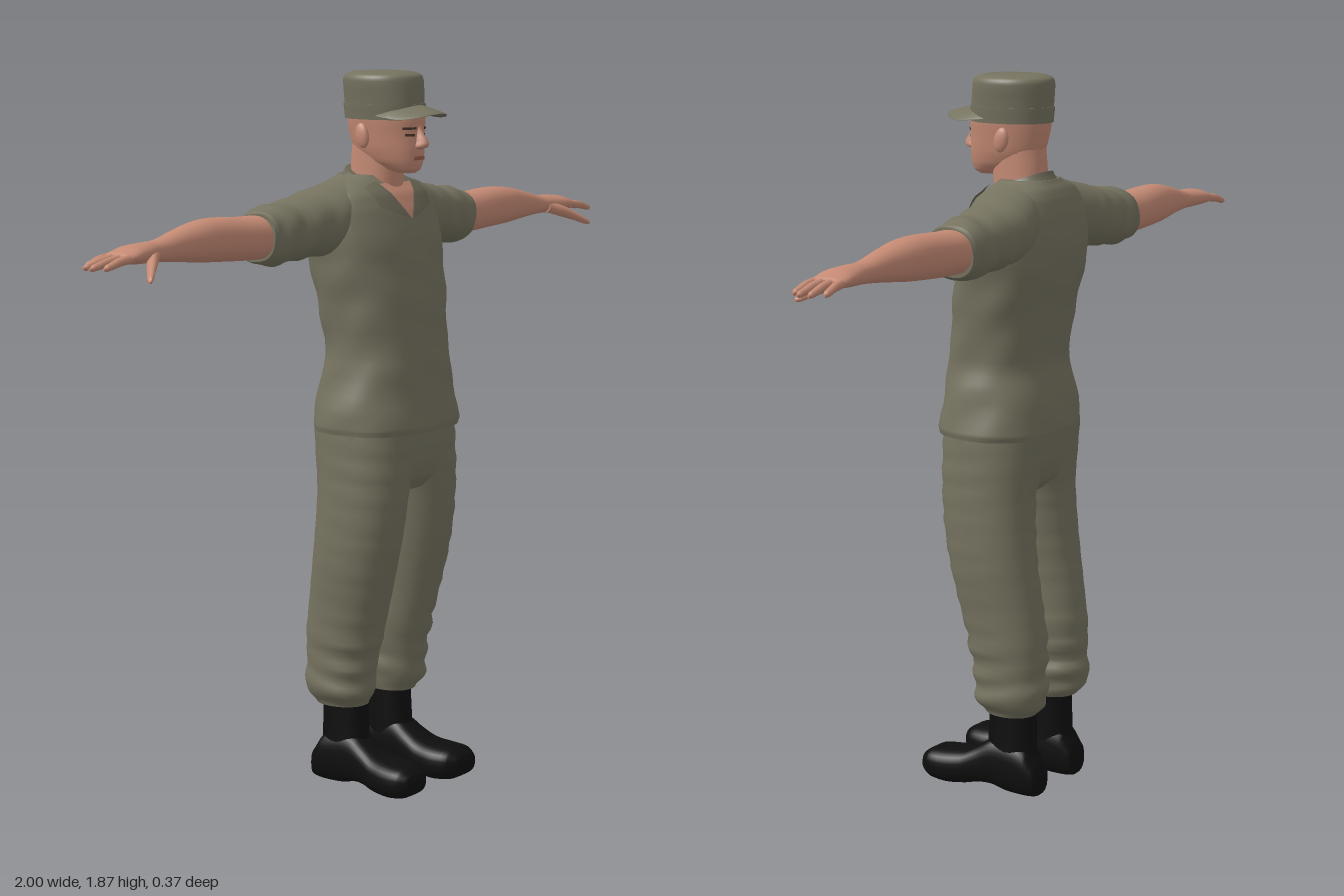
import * as THREE from 'three';

const mat = (name, color, side = THREE.FrontSide) => {
  const m = new THREE.MeshStandardMaterial({ color, side });
  m.name = name;
  return m;
};

// Loft through box-like sections [t, u0, u1, v0, v1] along an axis.
// (u, v) is (z, x) along y, (y, z) along x and (x, y) along z.
function loft(axis, sections, { n = 2.2, seg = 32, sub = 4, fold = null, tilt = 0 } = {}) {
  const rows = [];
  const last = sections.length - 1;
  for (let k = 0; k <= last * sub; k++) {
    const i = Math.min(Math.floor(k / sub), last - 1), f = k / sub - i;
    const [a, b, c, d] = [-1, 0, 1, 2].map(o => sections[Math.min(Math.max(i + o, 0), last)]);
    rows.push(b.map((_, q) => {
      if (q === 0) return b[0] + (c[0] - b[0]) * f;
      const m0 = (c[q] - a[q]) / 2, m1 = (d[q] - b[q]) / 2, f2 = f * f, f3 = f2 * f;
      return (2 * f3 - 3 * f2 + 1) * b[q] + (f3 - 2 * f2 + f) * m0 + (3 * f2 - 2 * f3) * c[q] + (f3 - f2) * m1;
    }));
  }
  const pos = [], idx = [];
  const put = (u, v, w) => {
    const p = axis === 'y' ? [v, w + tilt * u, u] : axis === 'x' ? [w, u, v] : [u, v, w];
    pos.push(...p);
  };
  const ring = ([t, u0, u1, v0, v1]) => {
    for (let j = 0; j < seg; j++) {
      const th = j / seg * Math.PI * 2, c = Math.cos(th), s = Math.sin(th), e = 2 / n;
      const w = fold ? fold(t, th) : 0;
      put((u0 + u1) / 2 + ((u1 - u0) / 2 + w) * Math.sign(c) * Math.abs(c) ** e,
        (v0 + v1) / 2 + ((v1 - v0) / 2 + w) * Math.sign(s) * Math.abs(s) ** e, t);
    }
  };
  rows.forEach(ring);
  for (let i = 0; i < rows.length - 1; i++) for (let j = 0; j < seg; j++) {
    const a = i * seg + j, b = i * seg + (j + 1) % seg;
    idx.push(a, b, b + seg, a, b + seg, a + seg);
  }
  // End caps with their own vertices
  [rows[0], rows[rows.length - 1]].forEach((r, end) => {
    const o = pos.length / 3;
    ring(r);
    put((r[1] + r[2]) / 2, (r[3] + r[4]) / 2, r[0]);
    for (let j = 0; j < seg; j++) {
      const a = o + j, b = o + (j + 1) % seg;
      idx.push(o + seg, ...(end ? [a, b] : [b, a]));
    }
  });
  const g = new THREE.BufferGeometry();
  g.setAttribute('position', new THREE.Float32BufferAttribute(pos, 3));
  g.setIndex(idx);
  g.computeVertexNormals();
  return g;
}

function mirrored(geo) {
  const g = geo.clone().scale(-1, 1, 1), ix = g.index.array;
  for (let i = 0; i < ix.length; i += 3) [ix[i + 1], ix[i + 2]] = [ix[i + 2], ix[i + 1]];
  return g;
}

// Thin patch laid over the front of some meshes; corners bl, br, tr, tl in (x, y)
function drape(targets, [bl, br, tr, tl], off) {
  const g = new THREE.PlaneGeometry(1, 1, 10, 10), p = g.attributes.position;
  const ray = new THREE.Raycaster();
  for (let i = 0; i < p.count; i++) {
    const u = p.getX(i) + 0.5, v = p.getY(i) + 0.5;
    const [x, y] = [0, 1].map(k => (bl[k] * (1 - u) + br[k] * u) * (1 - v) + (tl[k] * (1 - u) + tr[k] * u) * v);
    ray.set(new THREE.Vector3(x, y, 1), new THREE.Vector3(0, 0, -1));
    const hit = ray.intersectObjects(targets)[0];
    p.setXYZ(i, x, y, (hit ? hit.point.z : -0.03) + off);
  }
  g.computeVertexNormals();
  return g;
}

export function createModel() {
  const group = new THREE.Group();
  const cloth = mat('olive cloth', 0x75725f);
  const collarCloth = mat('collar cloth', 0x6d6a58, THREE.DoubleSide);
  const skin = mat('skin', 0xc48a74);
  const leather = mat('black leather', 0x0e0e0e);
  const lip = mat('lips', 0x9c5f50);
  const dark = mat('brows and eyes', 0x4a342a);

  const add = (name, geo, m) => {
    const mesh = new THREE.Mesh(geo, m);
    mesh.name = name;
    group.add(mesh);
    return mesh;
  };
  const pair = (name, geo, m) => [add(name + 'Left', geo, m), add(name + 'Right', mirrored(geo), m)];

  // Shirt
  const shirtFold = (y, a) => 0.003 * Math.sin(y * 48 + 2 * Math.sin(a * 2)) * Math.sin(a * 3 + y * 9) * (y < 1.4 ? 1 : 0.3);
  const shirt = add('shirtBody', loft('y', [
    [0.955, -0.162, 0.152, -0.202, 0.202], [0.975, -0.164, 0.154, -0.204, 0.204], [1.08, -0.148, 0.142, -0.184, 0.184],
    [1.155, -0.136, 0.134, -0.17, 0.17], [1.28, -0.155, 0.12, -0.181, 0.181], [1.38, -0.173, 0.105, -0.194, 0.194],
    [1.45, -0.18, 0.09, -0.2, 0.2], [1.52, -0.172, 0.066, -0.197, 0.197], [1.56, -0.16, 0.045, -0.175, 0.175],
    [1.585, -0.147, 0.022, -0.135, 0.135], [1.605, -0.13, 0.005, -0.085, 0.085]], { n: 2.4, seg: 56, fold: shirtFold }), cloth);
  const sleeves = pair('sleeve', loft('x', [
    [0.07, 1.43, 1.603, -0.145, 0.02], [0.14, 1.42, 1.588, -0.168, 0.025], [0.2, 1.408, 1.572, -0.178, 0.015],
    [0.3, 1.402, 1.552, -0.17, -0.003], [0.36, 1.396, 1.546, -0.164, -0.01], [0.4, 1.4, 1.537, -0.16, -0.014],
    [0.41, 1.407, 1.53, -0.155, -0.02]], {
    fold: (x, a) => x > 0.18 ? 0.003 * Math.sin(x * 75 + Math.sin(a * 2) * 1.5) : 0 }), cloth);

  // Collar, open neck and lapels
  const collar = add('collarBand', loft('y', [[1.52, -0.15, 0.06, -0.115, 0.115], [1.555, -0.13, 0.048, -0.09, 0.09],
    [1.585, -0.116, 0.036, -0.072, 0.072]], { tilt: -0.35 }), collarCloth);
  group.updateMatrixWorld(true);
  const front = [shirt, collar, ...sleeves];
  add('openNeck', drape(front, [[-0.004, 1.497], [0.004, 1.497], [0.066, 1.585], [-0.066, 1.585]], 0.004), skin);
  pair('lapel', drape(front, [[0.004, 1.495], [0.1, 1.528], [0.112, 1.578], [0.068, 1.592]], 0.009), collarCloth);

  // Trousers
  add('trouserSeat', loft('y', [[0.8, -0.09, 0.095, -0.09, 0.09], [0.83, -0.12, 0.118, -0.15, 0.15],
    [0.88, -0.138, 0.129, -0.188, 0.188], [0.97, -0.15, 0.13, -0.19, 0.19]], { n: 2.6 }), cloth);
  pair('trouserLeg', loft('y', [
    [0.222, -0.138, 0.003, 0.045, 0.16], [0.25, -0.165, 0.02, 0.034, 0.178], [0.29, -0.171, 0.027, 0.028, 0.184],
    [0.33, -0.166, 0.03, 0.029, 0.181], [0.4, -0.168, 0.046, 0.02, 0.186], [0.5, -0.156, 0.071, 0.02, 0.19],
    [0.6, -0.14, 0.095, 0.016, 0.199], [0.7, -0.13, 0.114, 0.01, 0.2], [0.8, -0.127, 0.125, 0.001, 0.197],
    [0.88, -0.138, 0.13, -0.02, 0.194], [0.97, -0.148, 0.13, -0.03, 0.19]], {
    seg: 40, fold: (y, a) => (y < 0.45 ? 0.005 : 0.002) * Math.sin(y * 95 + 2 * Math.sin(a + 1)) * (0.6 + 0.4 * Math.sin(a * 2)) }), cloth);

  // Boots
  pair('bootShaft', loft('y', [[0.06, -0.14, 0.01, 0.046, 0.14], [0.13, -0.136, 0.002, 0.046, 0.136],
    [0.27, -0.132, -0.005, 0.046, 0.134]]), leather);
  pair('bootFoot', loft('z', [
    [-0.16, 0.07, 0.122, 0.02, 0.06], [-0.152, 0.055, 0.135, 0.004, 0.085], [-0.12, 0.047, 0.142, 0, 0.13],
    [-0.06, 0.045, 0.142, 0.002, 0.145], [-0.02, 0.043, 0.143, 0.012, 0.142], [0.02, 0.04, 0.148, 0.012, 0.118],
    [0.06, 0.035, 0.158, 0.004, 0.098], [0.11, 0.032, 0.166, 0, 0.092], [0.155, 0.042, 0.164, 0.006, 0.088],
    [0.18, 0.065, 0.148, 0.02, 0.074], [0.188, 0.088, 0.126, 0.035, 0.06]], { n: 2.8 }), leather);

  // Bare arms, palms, fingers and thumbs
  pair('arm', loft('x', [
    [0.36, 1.416, 1.524, -0.15, -0.025], [0.46, 1.417, 1.525, -0.15, -0.03], [0.55, 1.422, 1.53, -0.146, -0.036],
    [0.62, 1.427, 1.527, -0.138, -0.038], [0.7, 1.436, 1.511, -0.122, -0.046], [0.77, 1.442, 1.494, -0.112, -0.051],
    [0.81, 1.443, 1.492, -0.117, -0.042], [0.86, 1.445, 1.488, -0.125, -0.031], [0.9, 1.45, 1.476, -0.123, -0.032],
    [0.91, 1.456, 1.47, -0.115, -0.04]], { seg: 28 }), skin);
  [[-0.112, 0.965, -0.118], [-0.089, 0.994, -0.095], [-0.066, 1, -0.068], [-0.043, 0.98, -0.042]].forEach(([z, end, zEnd], i) => {
    const sec = (f, y, r) => {
      const zc = z + (zEnd - z) * f;
      return [0.88 + (end - 0.88) * f, y - r, y + r, zc - r, zc + r];
    };
    pair('finger' + (i + 1), loft('x', [sec(0, 1.463, 0.011), sec(0.5, 1.458, 0.0105), sec(0.9, 1.448, 0.008),
      sec(1, 1.446, 0.003)], { n: 2, seg: 12 }), skin);
  });
  pair('thumb', loft('x', [[0.79, 1.445, 1.475, -0.075, -0.045], [0.825, 1.433, 1.466, -0.056, -0.02],
    [0.86, 1.42, 1.444, -0.024, 0.004], [0.885, 1.409, 1.426, 0.001, 0.02], [0.893, 1.41, 1.416, 0.012, 0.02]], { n: 2, seg: 14 }), skin);

  // Neck, head, nose and ears
  add('neck', loft('y', [[1.5, -0.12, 0.03, -0.062, 0.062], [1.58, -0.108, 0.036, -0.057, 0.057],
    [1.64, -0.104, 0.04, -0.056, 0.056], [1.68, -0.1, 0.04, -0.056, 0.056]]), skin);
  const head = add('head', loft('y', [
    [1.611, 0.035, 0.085, -0.018, 0.018], [1.62, 0, 0.098, -0.036, 0.036], [1.64, -0.06, 0.104, -0.052, 0.052],
    [1.67, -0.095, 0.106, -0.063, 0.063], [1.71, -0.108, 0.104, -0.07, 0.07], [1.75, -0.114, 0.104, -0.076, 0.076],
    [1.79, -0.112, 0.092, -0.078, 0.078]]), skin);
  add('nose', loft('y', [[1.672, 0.08, 0.11, -0.012, 0.012], [1.678, 0.08, 0.127, -0.017, 0.017],
    [1.69, 0.08, 0.13, -0.014, 0.014], [1.715, 0.08, 0.114, -0.009, 0.009], [1.735, 0.08, 0.104, -0.009, 0.009]], { n: 2, seg: 16 }), skin);
  pair('ear', new THREE.SphereGeometry(1, 16, 12).scale(0.011, 0.032, 0.02).rotateX(-0.2).translate(0.075, 1.705, -0.022), skin);
  group.updateMatrixWorld(true);
  const rect = (x, y, w, h) => [[x - w, y - h], [x + w, y - h], [x + w, y + h], [x - w, y + h]];
  add('lips', drape([head], rect(0, 1.65, 0.021, 0.005), 0.003), lip);
  pair('eye', drape([head], rect(0.03, 1.708, 0.011, 0.003), 0.002), dark);
  pair('brow', drape([head], rect(0.031, 1.725, 0.016, 0.003), 0.003), dark);

  // Cap with band and curved peak
  add('capCrown', loft('y', [[1.75, -0.116, 0.1, -0.083, 0.083], [1.8, -0.119, 0.098, -0.087, 0.087],
    [1.842, -0.12, 0.093, -0.091, 0.091], [1.856, -0.115, 0.087, -0.086, 0.086], [1.864, -0.095, 0.065, -0.068, 0.068],
    [1.867, -0.05, 0.02, -0.03, 0.03]], { n: 2.1, seg: 40 }), cloth);
  add('capBand', loft('y', [[1.746, -0.118, 0.102, -0.085, 0.085], [1.785, -0.121, 0.102, -0.089, 0.089]], { n: 2.1, seg: 40 }), cloth);
  const peak = new THREE.SphereGeometry(1, 40, 20).scale(0.088, 0.006, 0.11).translate(0, 0, 0.062);
  const pp = peak.attributes.position;
  for (let i = 0; i < pp.count; i++) {
    const x = pp.getX(i), z = pp.getZ(i);
    pp.setY(i, pp.getY(i) + 1.785 - 4.2 * x * x - 0.2 * Math.max(z - 0.06, 0));
  }
  peak.computeVertexNormals();
  add('capPeak', peak, cloth);

  return group;
}
